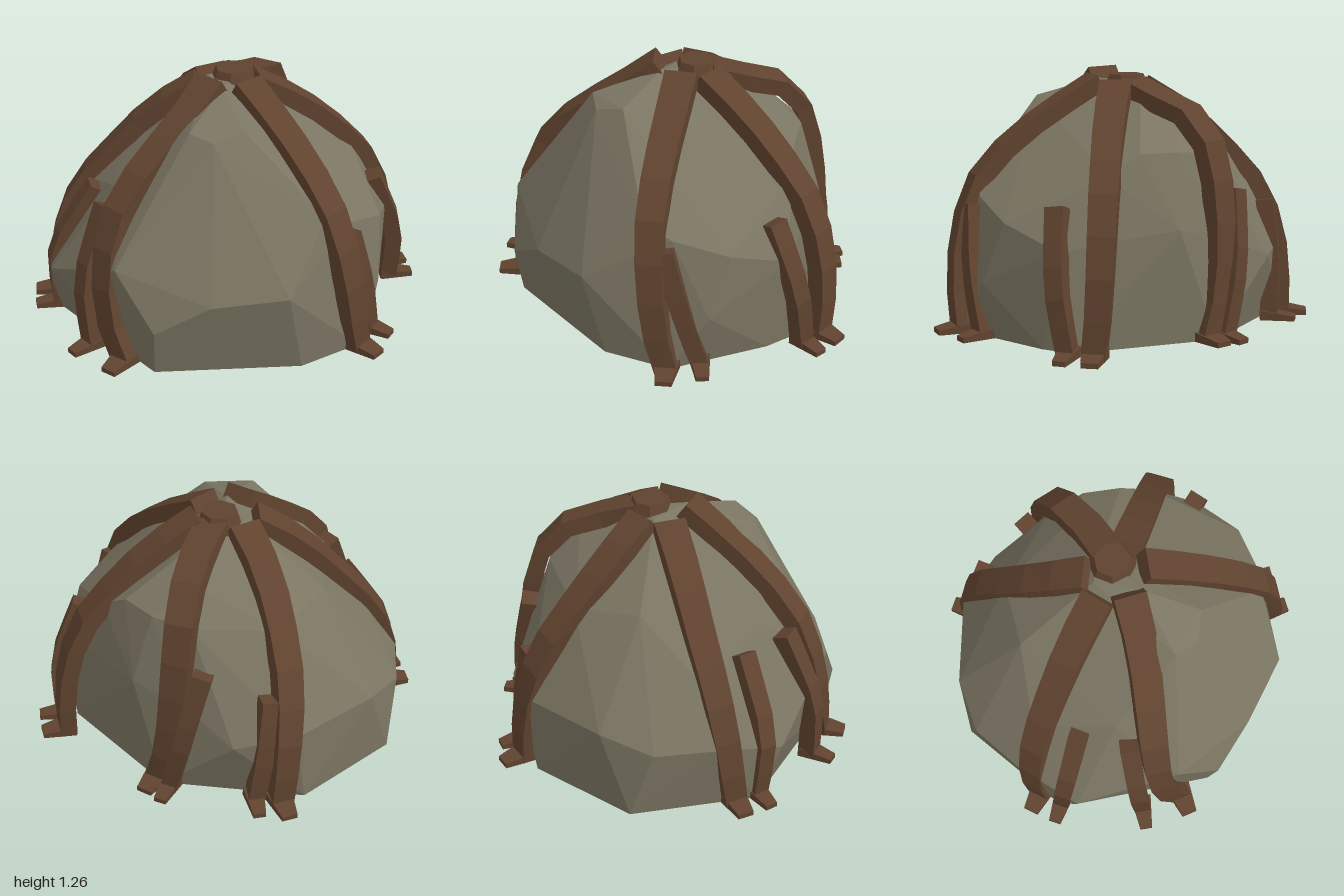
import * as THREE from 'three';
import { ConvexGeometry } from 'three/addons/geometries/ConvexGeometry.js';

const rockMat = new THREE.MeshStandardMaterial({ color: 0x7b7562, flatShading: true });
rockMat.name = 'stone';
const rootMat = new THREE.MeshStandardMaterial({ color: 0x60432f, flatShading: true });
rootMat.name = 'bark';

// Outline of the boulder on the ground, as x and z
const baseOutline = [
  [-.25, .84], [.45, .71], [.72, .5], [.8, 0], [.79, -.16],
  [.29, -.66], [-.42, -.72], [-.85, -.33], [-.86, .3],
];

// Corners where the boulder's facets meet above the ground
const facetCorners = [
  [-.24, .245, .88], [.03, .4, .86], [.39, .43, .79], [-.44, .51, .76], [-.84, .28, .42],
  [-.89, .35, .07], [-.88, .36, -.22], [-.74, .42, -.45], [-.37, .4, -.74],
  [-.07, .35, -.78], [.17, .5, -.65], [.43, .55, -.53], [.8, .28, .33], [.82, .48, -.09],
  [.79, .58, .21], [.64, .66, .44], [.53, .73, .53], [.6, .8, -.24], [.47, .9, -.34],
  [.33, .9, -.47], [.14, 1.03, -.38], [.14, .88, -.54],
  [-.28, .84, -.48], [-.49, .89, -.2], [-.72, .62, .05], [-.5, .77, .4],
  [-.12, 1.1, .46], [0, 1.07, .5], [.13, 1.11, .42], [.06, 1.18, -.14], [-.1, 1.18, -.05],
  [0, 1.2, .14],
];

// Shared course of a main strand: share of foot radius, height, share of shoulder lift
const course = [
  [.16, 1.18, 0], [.41, 1.05, .3], [.64, .88, .8], [.85, .68, 1],
  [.96, .45, .7], [1, .2, .2], [1, 0, 0],
];

// main: angles at crown, shoulder and foot, foot radius, shoulder lift, crown lift
// side: angle, radius and height of its tip, then angle and radius of its foot
const roots = [
  { main: [114, 127, 118, .875, .06, .045], side: [136, .73, .72, 132, .885] },
  { main: [40, 42, 35.7, .885, .06, .02], side: [37, .81, .62, 25, .845] },
  { main: [175, 172.5, 168, .885, -.07, -.01], side: [156.5, .68, .7, 160, .89] },
  { main: [-130, -117, -111.5, .83, -.01, 0], side: [-109, .74, .6, -103, .78] },
  { main: [-58, -72, -63, .705, .25, 0], side: [-83, .665, .7, -70, .73] },
  { main: [-17, -21, -19, .88, .02, 0], side: [-4, .75, .67, -11, .88] },
];

// Point at an angle in degrees, measured from +x towards +z
function polar(angle, radius, y) {
  const a = THREE.MathUtils.degToRad(angle);
  return new THREE.Vector3(Math.cos(a) * radius, y, Math.sin(a) * radius);
}

function mainPath([crown, shoulder, foot, radius, lift, crownLift]) {
  const path = course.map(([share, y, liftShare], i) => {
    const u = i / (course.length - 1);
    const bend = 4 * u * (1 - u) * (shoulder - (crown + foot) / 2);
    return polar(THREE.MathUtils.lerp(crown, foot, u) + bend, share * radius, y + lift * liftShare);
  });
  path[0].y += crownLift;
  return path;
}

function sidePath([tipAngle, tipRadius, tipY, footAngle, footRadius]) {
  return [
    polar(tipAngle, tipRadius, tipY),
    polar((tipAngle + footAngle) / 2, footRadius, tipY / 2),
    polar(footAngle, footRadius, 0),
  ];
}

// Sweeps a tapering rectangle along a path, its flat side facing away from the boulder
function strandGeometry(points, startHalf, endHalf, segments) {
  const curve = new THREE.CatmullRomCurve3(points);
  const rings = [];
  for (let i = 0; i <= segments; i++) {
    const u = i / segments;
    const p = curve.getPointAt(u);
    const t = curve.getTangentAt(u);
    const n = p.clone().sub(new THREE.Vector3(0, Math.min(p.y, .45), 0));
    n.addScaledVector(t, -n.dot(t)).normalize();
    const s = new THREE.Vector3().crossVectors(t, n);
    const w = THREE.MathUtils.lerp(startHalf, endHalf, u);
    rings.push([[w, .035], [-w, .035], [-w, -.05], [w, -.05]].map(([a, b]) => {
      const c = p.clone().addScaledVector(s, a).addScaledVector(n, b);
      c.y = Math.max(c.y, 0);
      return c;
    }));
  }
  const verts = [];
  const quad = (a, b, c, d) => [a, b, c, a, c, d].forEach((v) => verts.push(v.x, v.y, v.z));
  quad(...rings[0]);
  for (let i = 0; i < segments; i++) {
    for (let k = 0; k < 4; k++) {
      const m = (k + 1) % 4;
      quad(rings[i][m], rings[i][k], rings[i + 1][k], rings[i + 1][m]);
    }
  }
  quad(...[...rings[segments]].reverse());
  const g = new THREE.BufferGeometry();
  g.setAttribute('position', new THREE.Float32BufferAttribute(verts, 3));
  g.computeVertexNormals();
  return g;
}

// Wedge-shaped toe, lower and narrower at its outer end
function toeGeometry(width) {
  const g = new THREE.BoxGeometry(width, .05, .17).translate(0, .025, .04);
  const pos = g.attributes.position;
  for (let i = 0; i < pos.count; i++) {
    if (pos.getZ(i) > 0) {
      pos.setX(i, pos.getX(i) * .6);
      pos.setY(i, pos.getY(i) * .5);
    }
  }
  g.computeVertexNormals();
  return g;
}

function addMesh(parent, name, geometry, material) {
  const mesh = new THREE.Mesh(geometry, material);
  mesh.name = name;
  parent.add(mesh);
  return mesh;
}

function addStrand(parent, name, points, startHalf, endHalf, segments) {
  addMesh(parent, name, strandGeometry(points, startHalf, endHalf, segments), rootMat);
  const foot = points[points.length - 1];
  const toe = addMesh(parent, name + 'Toe', toeGeometry(endHalf * 2 + .02), rootMat);
  toe.position.copy(foot);
  toe.rotation.y = Math.atan2(foot.x, foot.z);
}

export function createModel() {
  const model = new THREE.Group();
  model.name = 'rootBoundBoulder';

  const corners = [
    ...baseOutline.map(([x, z]) => new THREE.Vector3(x, 0, z)),
    ...facetCorners.map((p) => new THREE.Vector3(...p)),
  ];
  addMesh(model, 'boulder', new ConvexGeometry(corners), rockMat);

  // A main strand from the crown and a short side strand for each root
  roots.forEach(({ main, side }, i) => {
    const root = new THREE.Group();
    root.name = 'root' + (i + 1);
    addStrand(root, 'mainStrand', mainPath(main), .08, .056, 8);
    addStrand(root, 'sideStrand', sidePath(side), .048, .042, 5);
    model.add(root);
  });

  // Knot where the roots meet
  const knot = addMesh(model, 'crownKnot', new THREE.CylinderGeometry(.09, .12, .08, 7), rootMat);
  knot.position.set(.03, 1.19, -.04);
  return model;
}
